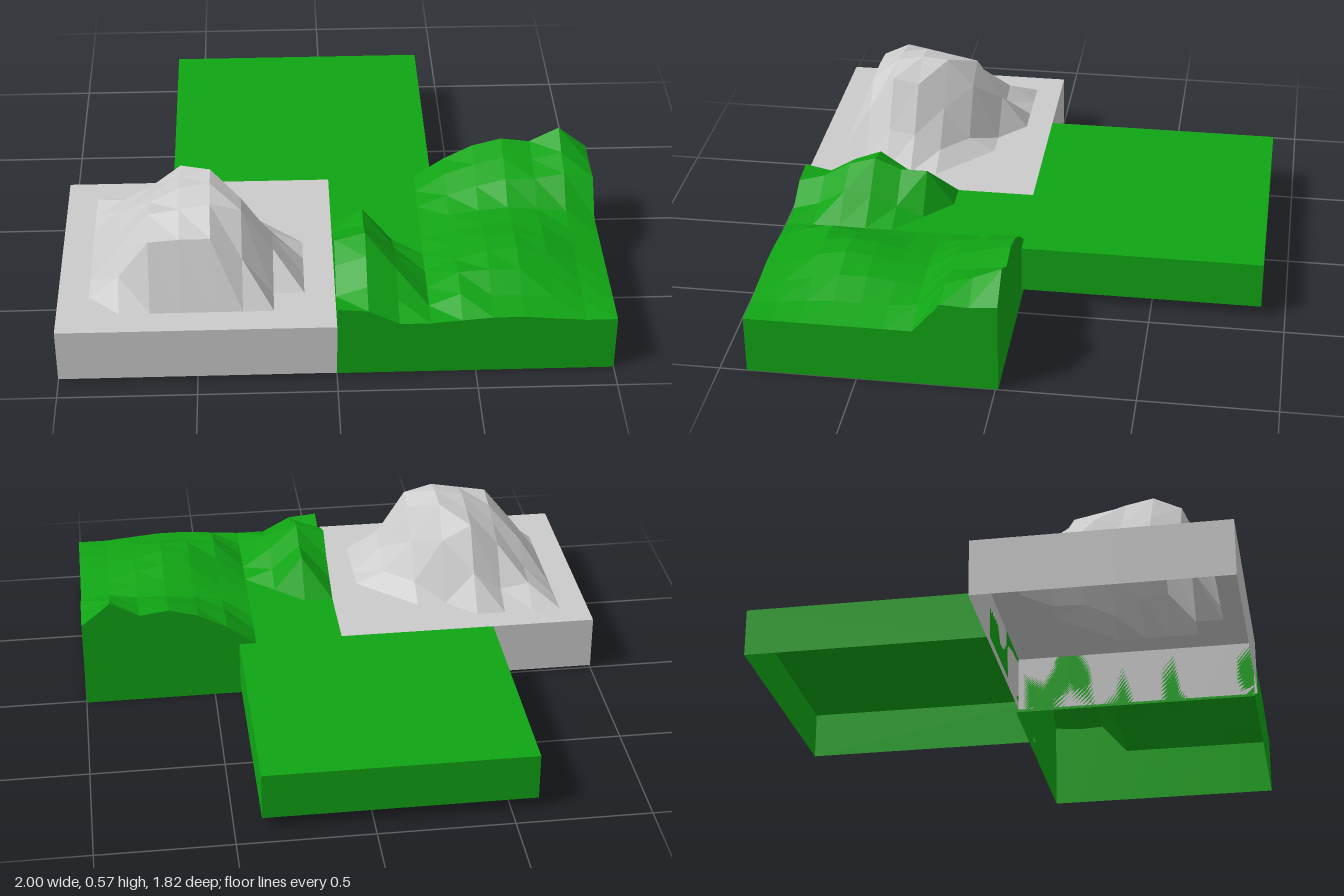
import * as THREE from 'three';

const N = 9; // cells along each side of a terrain tile
const LEVEL = 0.22; // ground height of every tile

// Open-bottomed tile: a height-field top with four skirt walls.
// rows[j][i] holds heights in hundredths, j running from back to front.
function terrainTile(name, material, x0, z0, sizeX, sizeZ, base, rows) {
  const nz = rows.length - 1, nx = rows[0].length - 1;
  const point = (i, j) => [x0 + (i / nx) * sizeX, rows[j][i] / 100, z0 + (j / nz) * sizeZ];
  const foot = ([x, , z]) => [x, base, z];
  const surface = [], walls = [];
  const quad = (out, a, b, c, d) => out.push(...a, ...b, ...c, ...a, ...c, ...d);

  for (let j = 0; j < nz; j++)
    for (let i = 0; i < nx; i++)
      quad(surface, point(i, j), point(i, j + 1), point(i + 1, j + 1), point(i + 1, j));

  const wall = (a, b) => quad(walls, a, foot(a), foot(b), b);
  for (let i = 0; i < nx; i++) {
    wall(point(i, nz), point(i + 1, nz)); // front
    wall(point(i + 1, 0), point(i, 0)); // back
  }
  for (let j = 0; j < nz; j++) {
    wall(point(0, j), point(0, j + 1)); // right side
    wall(point(nx, j + 1), point(nx, j)); // left side
  }

  const group = new THREE.Group();
  group.name = name;
  for (const [part, positions] of [['Surface', surface], ['Walls', walls]]) {
    const geometry = new THREE.BufferGeometry();
    geometry.setAttribute('position', new THREE.Float32BufferAttribute(positions, 3));
    geometry.computeVertexNormals();
    const mesh = new THREE.Mesh(geometry, material);
    mesh.name = name + part;
    group.add(mesh);
  }
  return group;
}

// Places the raised inner heights on a flat tile.
function flatWith(inner, startI, startJ) {
  const rows = Array.from({ length: N + 1 }, () => new Array(N + 1).fill(LEVEL * 100));
  inner.forEach((row, j) => row.forEach((h, i) => { rows[startJ + j][startI + i] = h; }));
  return rows;
}

export function createModel() {
  const grey = new THREE.MeshStandardMaterial({ color: 0xcccccc, flatShading: true, side: THREE.DoubleSide });
  const green = new THREE.MeshStandardMaterial({ color: 0x10a414, flatShading: true, side: THREE.DoubleSide });

  // Rocky peak surrounded by a level border
  const mountain = flatWith([
    [29, 27, 35, 22, 22, 22],
    [31, 42, 51, 45, 27, 22],
    [38, 46, 53, 56, 40, 27],
    [36, 49, 55, 57, 50, 33],
    [37, 51, 53, 55, 52, 34.5],
    [31, 46, 47, 47, 38, 22],
  ], 2, 2);

  // Ridge along the back, a knoll at the right side and a low swell between
  const hills = [
    [22, 22, 22, 22, 30, 36, 39, 37.5, 43.5, 34.5],
    [22, 22, 22, 22, 30, 34, 37, 36, 39, 33.5],
    [22, 22, 22, 22, 27, 31, 34, 34, 36, 34],
    [22, 22, 22, 22, 25, 27, 28, 27, 26, 22],
    [26, 36, 22, 22, 25, 28, 29, 28, 25, 22],
    [30, 36, 26, 22, 26, 30, 31, 29, 25, 22],
    [37, 40, 30, 22, 27, 31, 32, 29, 25, 22],
    [33, 37, 31, 22, 29, 30, 30, 27, 24, 22],
    [27, 31, 25, 22, 27, 26, 26, 25, 23, 22],
    [29, 28, 22, 22, 23, 24, 24, 23, 22, 22],
  ];

  const model = new THREE.Group();
  model.name = 'terrainTiles';
  model.add(
    terrainTile('mountainTile', grey, -1, 0, 1, 0.91, 0.01, mountain),
    terrainTile('hillTile', green, 0, -0.01, 1, 0.91, 0, hills),
    terrainTile('flatTile', green, -0.6, -0.91, 1, 0.91, 0.04, [[22, 22], [22, 22]]),
  );
  return model;
}
